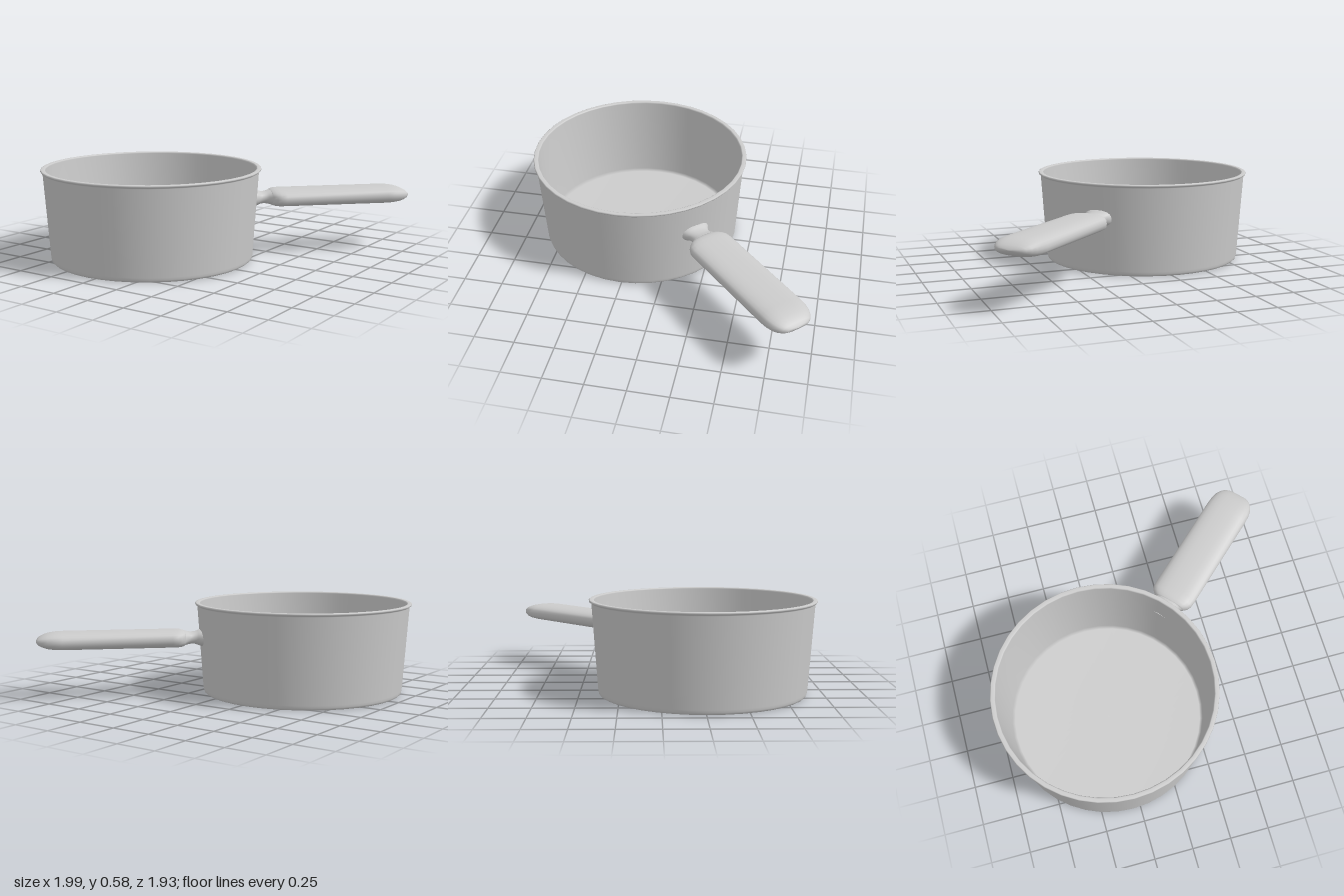
import * as THREE from 'three';

// Loft rounded-oblong rings along +x; each section is [x, halfHeight, halfWidth]
function loft(sections, sides = 24, power = 0.75) {
  const positions = [];
  const index = [];
  const round = (v) => Math.sign(v) * Math.abs(v) ** power;
  sections.forEach(([x, h, w], i) => {
    for (let j = 0; j < sides; j++) {
      const a = (j / sides) * Math.PI * 2;
      positions.push(x, round(Math.cos(a)) * h, round(Math.sin(a)) * w);
      if (i === sections.length - 1) continue;
      const k = (j + 1) % sides;
      const p = i * sides;
      const q = p + sides;
      index.push(p + j, p + k, q + j, p + k, q + k, q + j);
    }
  });
  const geometry = new THREE.BufferGeometry();
  geometry.setAttribute('position', new THREE.Float32BufferAttribute(positions, 3));
  geometry.setIndex(index);
  geometry.computeVertexNormals();
  return geometry;
}

export function createModel() {
  const model = new THREE.Group();
  model.name = 'saucepan';
  const material = new THREE.MeshStandardMaterial({ color: 0xcccccc });

  // Hollow tapered pot: underside, outer wall, lip, inner wall, floor
  const profile = [
    [0, 0], [0.63, 0], [0.637, 0.001], [0.643, 0.006], [0.646, 0.015],
    [0.648, 0.03], [0.685, 0.562], [0.687, 0.568],
    [0.696, 0.571], [0.7, 0.577], [0.698, 0.583], [0.694, 0.585],
    [0.676, 0.585], [0.671, 0.583], [0.668, 0.576],
    [0.628, 0.05], [0.61, 0.033], [0, 0.03],
  ].map(([r, y]) => new THREE.Vector2(r, y));
  const pot = new THREE.Mesh(new THREE.LatheGeometry(profile, 40), material);
  pot.name = 'pot';
  pot.position.set(-0.3, 0, 0.26);
  model.add(pot);

  // Flared neck and flat handle, pointing away from the pot's centre
  const handle = new THREE.Group();
  handle.name = 'handle';
  handle.position.set(-0.3, 0.365, 0.26);
  handle.rotation.y = 0.76;
  model.add(handle);

  const neck = new THREE.Mesh(loft([
    [0.652, 0.055, 0.1], [0.675, 0.052, 0.09], [0.69, 0.045, 0.078],
    [0.71, 0.039, 0.069], [0.735, 0.038, 0.067], [0.755, 0.041, 0.078],
    [0.775, 0.046, 0.103],
  ], 24, 0.85), material);
  neck.name = 'neck';
  handle.add(neck);

  const grip = new THREE.Mesh(loft([
    [0.765, 0, 0], [0.768, 0.04, 0.09], [0.78, 0.048, 0.11], [0.8, 0.053, 0.13],
    [0.825, 0.055, 0.142], [0.86, 0.055, 0.145],
    [1.54, 0.055, 0.145], [1.59, 0.053, 0.142], [1.63, 0.047, 0.133],
    [1.66, 0.038, 0.119], [1.685, 0.026, 0.098], [1.7, 0.013, 0.072], [1.706, 0, 0],
  ]), material);
  grip.name = 'grip';
  handle.add(grip);

  return model;
}
